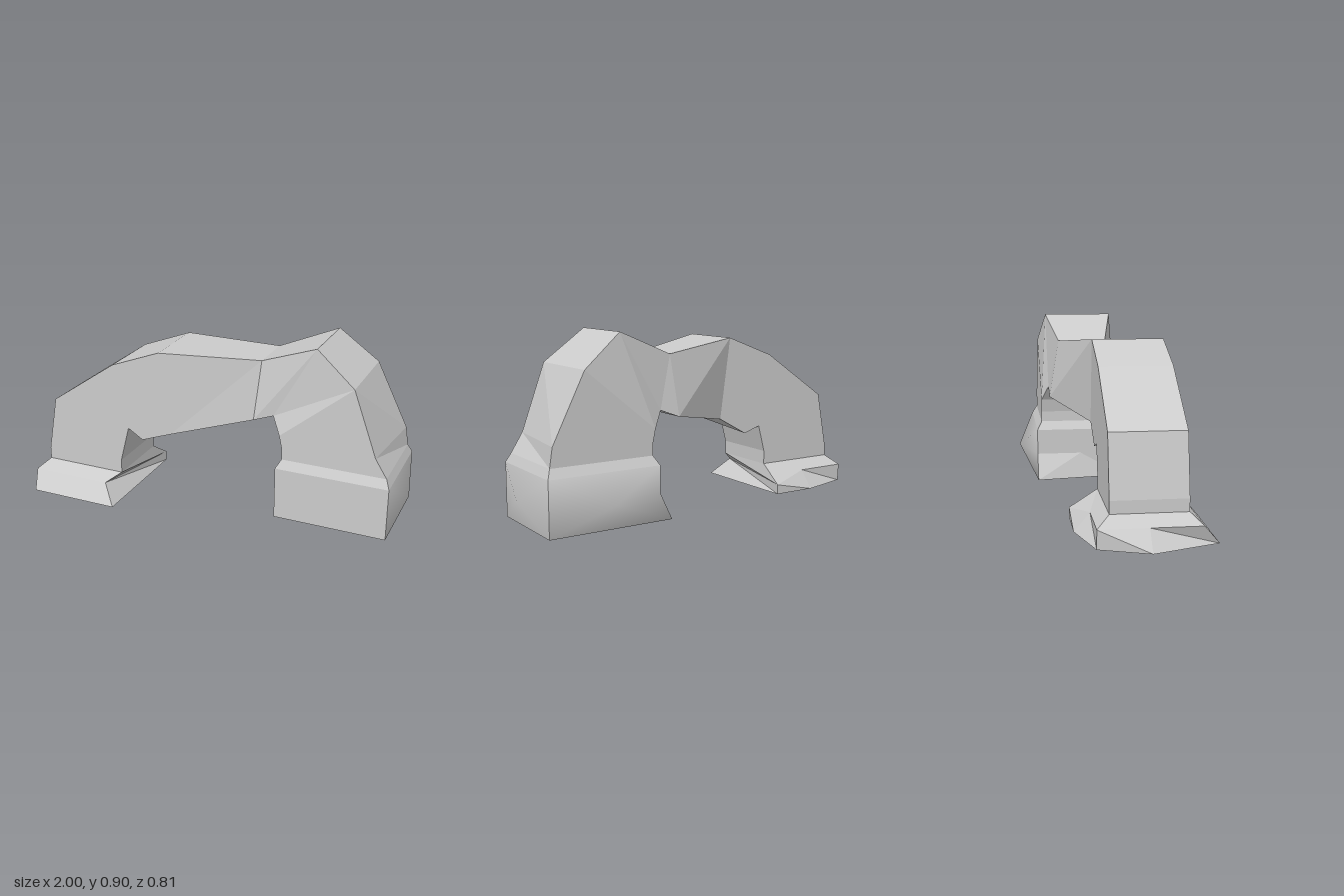
import * as THREE from 'three';
import { mergeGeometries } from 'three/addons/utils/BufferGeometryUtils.js';

const facetedStone = new THREE.MeshStandardMaterial({ color: 0xcccccc, flatShading: true });
const smoothStone = new THREE.MeshStandardMaterial({ color: 0xcccccc });

function buildGeometry(points, index) {
  const g = new THREE.BufferGeometry();
  g.setAttribute('position', new THREE.Float32BufferAttribute(points.flat(), 3));
  g.setIndex(index);
  g.computeVertexNormals();
  return g;
}

// Skin between successive rings of points
function loft(rings) {
  const n = rings[0].length, index = [];
  for (let r = 0; r < rings.length - 1; r++) {
    for (let j = 0; j < n; j++) {
      const a = r * n + j, b = r * n + (j + 1) % n;
      index.push(a, a + n, b + n, a, b + n, b);
    }
  }
  return buildGeometry(rings.flat(), index);
}

// Face made of triangles around a centre point
function fan(centre, rim) {
  const index = [];
  rim.forEach((_, i) => index.push(0, i + 1, (i + 1) % rim.length + 1));
  return buildGeometry([centre, ...rim], index);
}

function addMesh(parent, name, geometry, material) {
  const mesh = new THREE.Mesh(geometry, material);
  mesh.name = name;
  parent.add(mesh);
}

// Four-cornered slice: outer edge, inner edge, front and back depths of each
const slice = (ox, oy, ix, iy, zf, zb, izf = zf, izb = zb) =>
  [[ox, oy, zf], [ox, oy, zb], [ix, iy, izb], [ix, iy, izf]];

export function createModel() {
  const model = new THREE.Group();
  model.name = 'rockArch';

  // Arch, from the low foot over the top to the big base block
  const notch = slice(-0.46, 0.73, -0.30, 0.35, 0.275, -0.08);
  notch[2][1] = 0.32;
  const shoulder = slice(0.87, 0.41, 0.40, 0.37, 0.135, -0.295);
  shoulder[1][0] = 0.915;
  addMesh(model, 'arch', loft([
    slice(-0.865, 0.14, -0.43, 0.14, 0.275, -0.08),
    slice(-0.865, 0.20, -0.43, 0.21, 0.275, -0.08),
    slice(-0.81, 0.49, -0.38, 0.40, 0.275, -0.08),
    notch,
    slice(-0.20, 0.83, -0.14, 0.41, 0.275, -0.08),
    slice(0.25, 0.78, 0.23, 0.48, 0.04, -0.21, 0.09, -0.26),
    slice(0.55, 0.90, 0.335, 0.52, 0.10, -0.26, 0.09, -0.26),
    slice(0.75, 0.74, 0.385, 0.44, 0.135, -0.295),
    shoulder,
    slice(0.93, 0.315, 0.40, 0.315, 0.135, -0.295),
    slice(0.95, 0.27, 0.375, 0.27, 0.158, -0.32),
  ]), facetedStone);

  // Low splayed foot
  const ground = [[-0.42, 0, 0.405], [-0.89, 0, 0.405], [-1, 0, 0.09],
    [-0.915, 0, -0.14], [-0.65, 0, -0.215], [-0.42, 0, -0.215]];
  const ledge = [[-0.5, 0.09, 0.33], [-0.92, 0.09, 0.33], [-0.92, 0.09, 0.09],
    [-0.92, 0.09, -0.14], [-0.65, 0.09, -0.14], [-0.42, 0.05, -0.215]];
  const neck = [[-0.43, 0.14, 0.275], [-0.865, 0.14, 0.275], [-0.865, 0.14, 0.09],
    [-0.865, 0.14, -0.08], [-0.65, 0.14, -0.08], [-0.43, 0.14, -0.08]];
  addMesh(model, 'foot', mergeGeometries([
    loft([ground, ledge, neck]),
    fan([-0.7, 0, 0.09], ground),
  ]), facetedStone);

  // Big base block with bulging back and outer sides
  const [t0, t1, t2, t3] = slice(0.95, 0.27, 0.375, 0.27, 0.158, -0.32);
  const [b0, b1, b2, b3] = slice(0.95, 0, 0.375, 0, 0.158, -0.32);
  const kink = [0.375, 0.135, -0.32];
  b2[0] = 0.31;
  addMesh(model, 'baseBlock', mergeGeometries([
    fan([1, 0.135, -0.08], [t0, b0, b1, t1]),
    fan([0.66, 0.135, -0.41], [t1, b1, b2, kink, t2]),
    fan([0.66, 0.135, 0.158], [t3, b3, b0, t0]),
    fan([0.65, 0, -0.08], [b0, b3, b2, b1]),
  ]), smoothStone);
  addMesh(model, 'baseInnerSide', fan([0.375, 0.135, -0.08], [t2, kink, b2, b3, t3]), facetedStone);

  return model;
}
